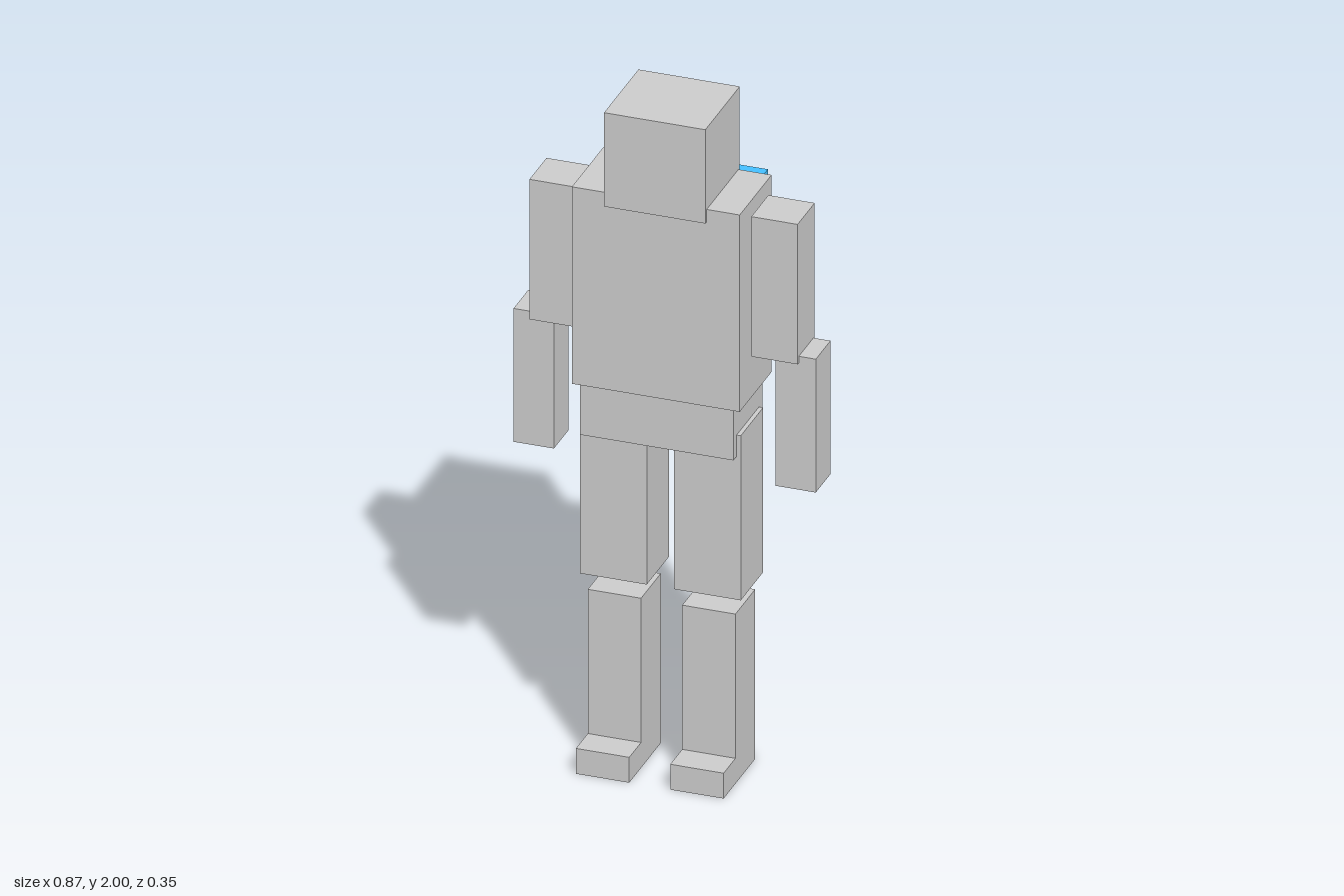
import * as THREE from 'three';

const grey = new THREE.MeshStandardMaterial({ color: 0xcccccc });
const blue = new THREE.MeshStandardMaterial({ color: 0x44bfff });

// Box given by its [min, max] range on each axis
function block(name, [x0, x1], [y0, y1], [z0, z1], material = grey) {
  const mesh = new THREE.Mesh(new THREE.BoxGeometry(x1 - x0, y1 - y0, z1 - z0), material);
  mesh.position.set((x0 + x1) / 2, (y0 + y1) / 2, (z0 + z1) / 2);
  mesh.name = name;
  return mesh;
}

// Shin and foot in one piece: an L profile (z, y) extruded across x
function lowerLeg(name, [x0, x1]) {
  const back = -0.075, front = 0.08, toe = 0.173, footTop = 0.077, top = 0.515;
  const profile = new THREE.Shape([
    [back, 0], [toe, 0], [toe, footTop], [front, footTop], [front, top], [back, top],
  ].map(([z, y]) => new THREE.Vector2(z, y)));
  const geometry = new THREE.ExtrudeGeometry(profile, { depth: x1 - x0, bevelEnabled: false });
  geometry.rotateY(-Math.PI / 2); // profile x becomes z, depth runs towards -x
  const mesh = new THREE.Mesh(geometry, grey);
  mesh.position.x = x1;
  mesh.name = name;
  return mesh;
}

export function createModel() {
  const model = new THREE.Group();
  model.name = 'blockFigure';

  // Head, trunk and backpack
  model.add(
    block('head', [-0.146, 0.145], [1.715, 2], [-0.137, 0.133]),
    block('torso', [-0.242, 0.24], [1.155, 1.753], [-0.127, 0.123]),
    block('pelvis', [-0.221, 0.219], [1.0, 1.155], [-0.112, 0.115]),
    block('backpack', [-0.213, 0.212], [1.318, 1.742], [-0.175, -0.122], blue),
  );

  // Arms and legs, mirrored
  for (const [side, s] of [['left', 1], ['right', -1]]) {
    const span = (a, b) => (s > 0 ? [a, b] : [-b, -a]);
    model.add(
      block(side + 'UpperArm', span(0.252, 0.385), [1.297, 1.722], [-0.069, 0.065]),
      block(side + 'Forearm', span(0.318, 0.434), [0.912, 1.317], [-0.059, 0.056]),
      block(side + 'Thigh', span(0.039, 0.231), [0.565, 1.065], [-0.086, 0.09]),
      lowerLeg(side + 'LowerLeg', span(0.059, 0.212)),
    );
  }
  return model;
}
